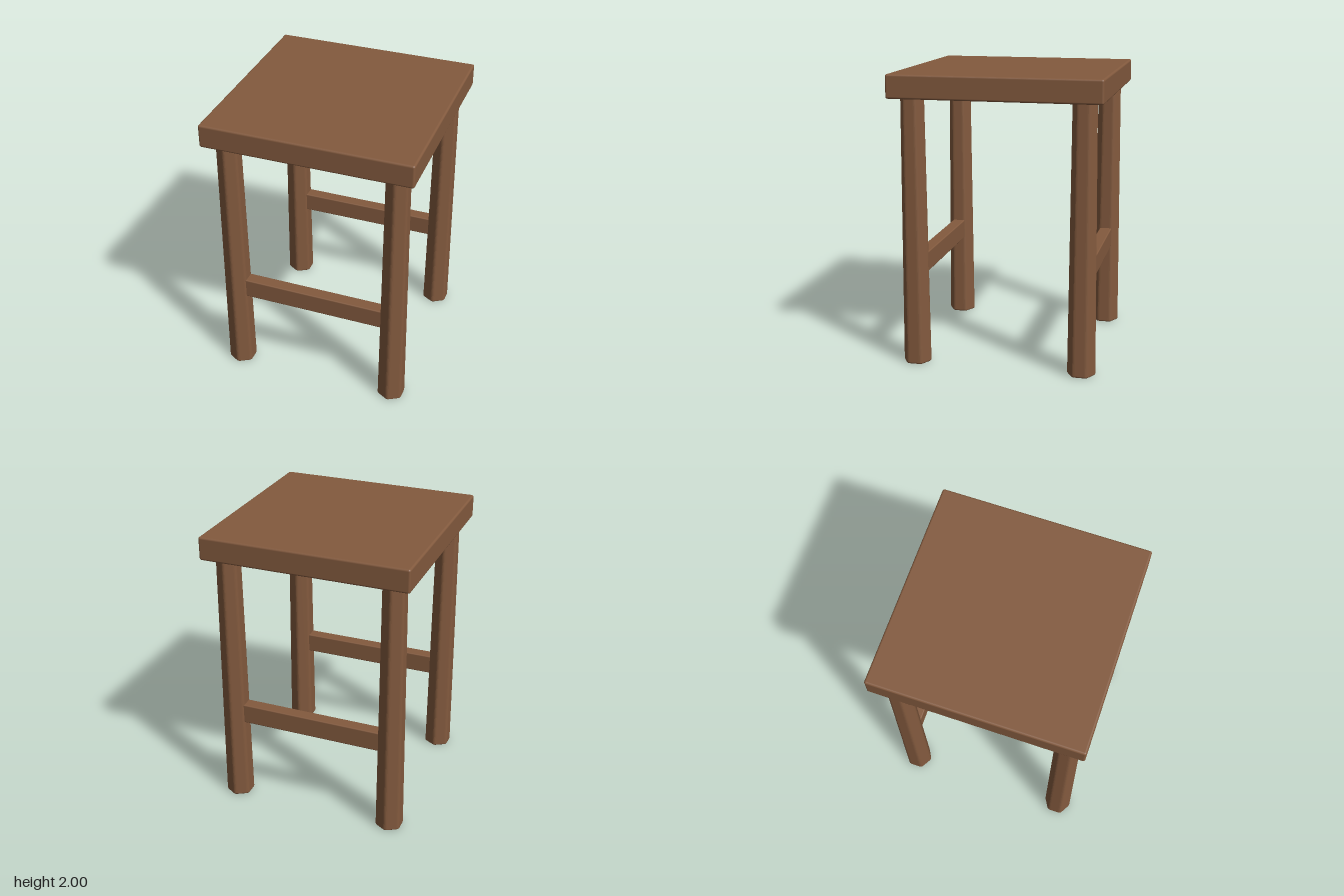
import * as THREE from 'three';
import { RoundedBoxGeometry } from 'three/addons/geometries/RoundedBoxGeometry.js';

const SEAT_BOTTOM = 1.84;
const LEG = 0.576;      // leg offset from the centre, along the seat's own axes
const wood = new THREE.MeshStandardMaterial({ color: 0x835a3e });

function add(parent, name, geometry, x, y, z) {
  const mesh = new THREE.Mesh(geometry, wood);
  mesh.name = name;
  mesh.position.set(x, y, z);
  parent.add(mesh);
  return mesh;
}

// Hexagonal leg with softened edges, standing on y = 0 and narrowing upwards
function legGeometry() {
  const R = 0.101, TOP_SCALE = 0.84, BEVEL = 0.012, height = SEAT_BOTTOM + 0.01;
  const corners = Array.from({ length: 6 }, (_, i) => {
    const a = Math.PI / 2 + i * Math.PI / 3;
    return new THREE.Vector2(R * Math.cos(a), R * Math.sin(a));
  });
  const shape = new THREE.Shape();
  corners.forEach((c, i) => {
    const before = c.clone().lerp(corners[(i + 5) % 6], 0.18);
    const after = c.clone().lerp(corners[(i + 1) % 6], 0.18);
    if (i === 0) shape.moveTo(before.x, before.y);
    else shape.lineTo(before.x, before.y);
    shape.quadraticCurveTo(c.x, c.y, after.x, after.y);
  });
  shape.closePath();
  const g = new THREE.ExtrudeGeometry(shape, {
    depth: height - 2 * BEVEL, curveSegments: 4,
    bevelThickness: BEVEL, bevelSize: BEVEL, bevelOffset: -BEVEL, bevelSegments: 3,
  });
  g.rotateX(-Math.PI / 2).translate(0, BEVEL, 0);
  const p = g.attributes.position;
  for (let i = 0; i < p.count; i++) {
    const s = 1 + (TOP_SCALE - 1) * p.getY(i) / height;
    p.setX(i, p.getX(i) * s);
    p.setZ(i, p.getZ(i) * s);
  }
  g.computeVertexNormals();
  return g;
}

export function createModel() {
  const model = new THREE.Group();
  model.name = 'stool';

  // The whole stool is turned on its vertical axis
  const stool = new THREE.Group();
  stool.name = 'stoolBody';
  stool.rotation.y = -THREE.MathUtils.degToRad(23);
  model.add(stool);

  // Seat slab
  add(stool, 'seat', new RoundedBoxGeometry(1.43, 2 - SEAT_BOTTOM, 1.43, 3, 0.014),
    0, (2 + SEAT_BOTTOM) / 2, 0);

  // Four legs, and one stretcher along the front and back pairs
  const leg = legGeometry();
  const stretcher = new RoundedBoxGeometry(1.01, 0.14, 0.088, 3, 0.008);
  for (const [zName, sz] of [['front', 1], ['back', -1]]) {
    for (const [xName, sx] of [['Left', 1], ['Right', -1]]) {
      add(stool, `${zName}${xName}Leg`, leg, sx * LEG, 0, sz * LEG);
    }
    add(stool, `${zName}Stretcher`, stretcher, 0, 0.675, sz * LEG);
  }
  return model;
}
